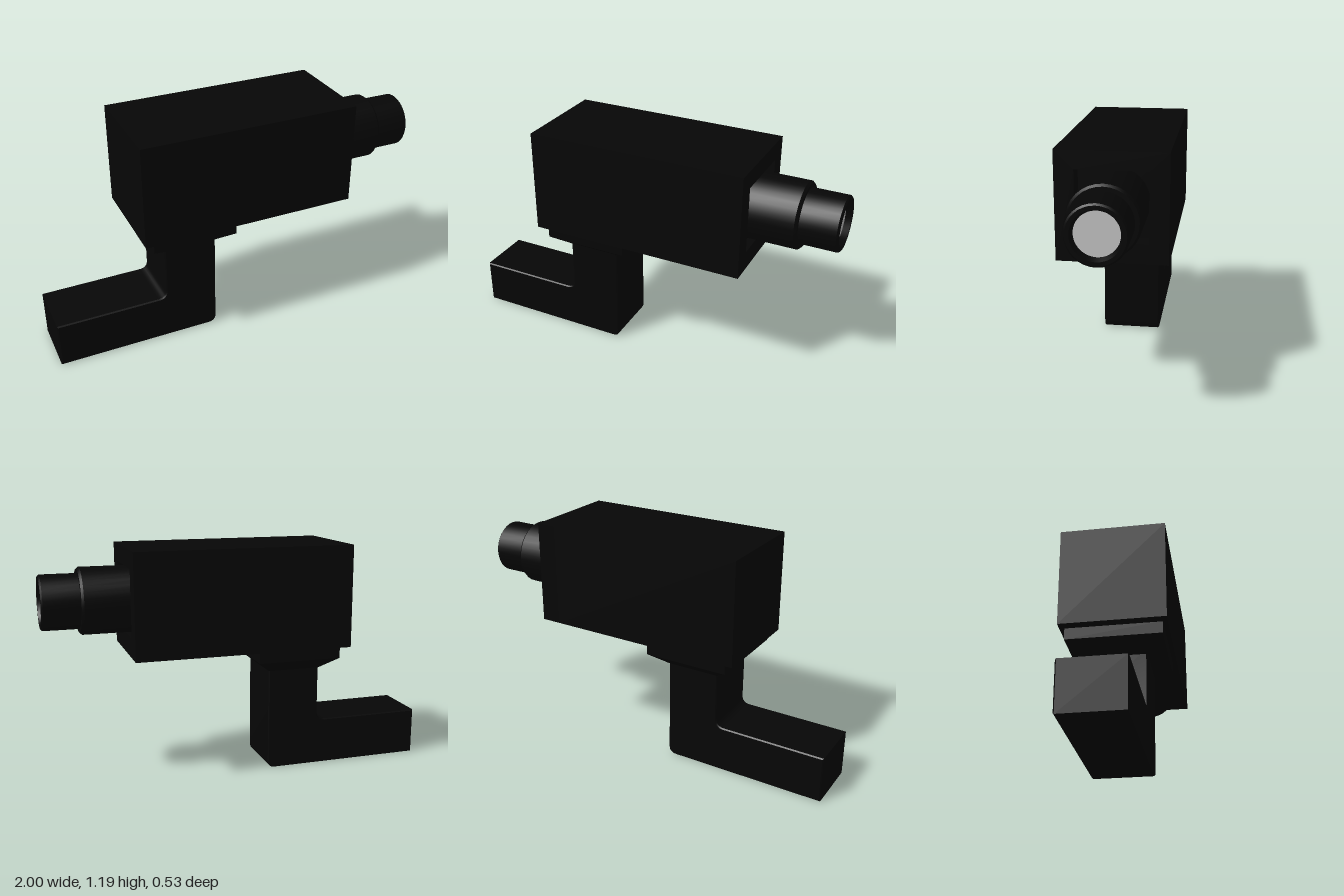
import * as THREE from 'three';
import { toCreasedNormals } from 'three/addons/utils/BufferGeometryUtils.js';

const black = new THREE.MeshStandardMaterial({ color: 0x060606 });
const grey = new THREE.MeshStandardMaterial({ color: 0xcccccc });

function add(parent, name, geometry, material = black) {
  const mesh = new THREE.Mesh(geometry, material);
  mesh.name = name;
  parent.add(mesh);
  return mesh;
}

// Box given by its limits on each axis
function boxBetween(x0, x1, y0, y1, z) {
  return new THREE.BoxGeometry(x1 - x0, y1 - y0, 2 * z)
    .translate((x0 + x1) / 2, (y0 + y1) / 2, 0);
}

function rectangle(Type, halfWidth, y0, y1) {
  const p = new Type();
  p.moveTo(-halfWidth, y0);
  p.lineTo(halfWidth, y0);
  p.lineTo(halfWidth, y1);
  p.lineTo(-halfWidth, y1);
  p.closePath();
  return p;
}

export function createModel() {
  const model = new THREE.Group();
  model.name = 'securityCamera';

  // Housing: solid rear and a front frame around a square recess
  const housing = new THREE.Group();
  housing.name = 'housing';
  model.add(housing);
  const frontX = 0.58, recess = 0.1;
  add(housing, 'housingBody', boxBetween(-0.55, frontX - recess, 0.66, 1.19, 0.265));
  const frame = rectangle(THREE.Shape, 0.265, 0.66, 1.19);
  frame.holes.push(rectangle(THREE.Path, 0.172, 0.757, 1.1));
  const frameGeo = new THREE.ExtrudeGeometry(frame, { depth: recess, bevelEnabled: false });
  frameGeo.rotateY(Math.PI / 2).translate(frontX - recess, 0, 0);
  add(housing, 'frontFrame', frameGeo);

  // Stepped lens barrel with a shallow bore
  const lens = new THREE.Group();
  lens.name = 'lens';
  lens.position.y = 0.93;
  model.add(lens);
  const profile = [
    [0.168, 0.48], [0.168, 0.8], [0.158, 0.812], [0.138, 0.812],
    [0.138, 0.992], [0.13, 1], [0.112, 1], [0.1, 0.968],
  ].map(([r, x]) => new THREE.Vector2(r, x));
  const barrel = new THREE.LatheGeometry(profile, 32).rotateZ(-Math.PI / 2);
  add(lens, 'lensBarrel', toCreasedNormals(barrel, 0.5));
  const glass = new THREE.CircleGeometry(0.102, 16).rotateY(Math.PI / 2);
  add(lens, 'lensGlass', glass, grey).position.x = 0.97;

  // Mounting collar: straight rim above a taper
  const collar = new THREE.Group();
  collar.name = 'collar';
  model.add(collar);
  add(collar, 'collarRim', boxBetween(-0.5, -0.06, 0.6, 0.662, 0.24));
  const taper = boxBetween(-0.5, -0.06, 0.535, 0.6, 0.24).toNonIndexed();
  const pos = taper.attributes.position;
  for (let i = 0; i < pos.count; i++) {
    if (pos.getY(i) < 0.57) {
      pos.setX(i, pos.getX(i) < -0.28 ? -0.417 : -0.14);
      pos.setZ(i, Math.sign(pos.getZ(i)) * 0.155);
    }
  }
  taper.computeVertexNormals();
  add(collar, 'collarTaper', taper);

  // L-shaped wall arm with rounded bends
  const arm = new THREE.Shape();
  arm.moveTo(-1, 0);
  arm.lineTo(-0.18, 0);
  arm.quadraticCurveTo(-0.14, 0, -0.14, 0.04);
  arm.lineTo(-0.14, 0.56);
  arm.lineTo(-0.417, 0.56);
  arm.lineTo(-0.417, 0.29);
  arm.quadraticCurveTo(-0.417, 0.245, -0.462, 0.245);
  arm.lineTo(-1, 0.245);
  arm.closePath();
  const bevel = 0.006, halfDepth = 0.154;
  const armGeo = new THREE.ExtrudeGeometry(arm, {
    depth: 2 * (halfDepth - bevel), curveSegments: 6,
    bevelThickness: bevel, bevelSize: bevel, bevelOffset: -bevel, bevelSegments: 1,
  }).translate(0, 0, -(halfDepth - bevel));
  add(model, 'wallArm', toCreasedNormals(armGeo, 0.5));

  return model;
}
